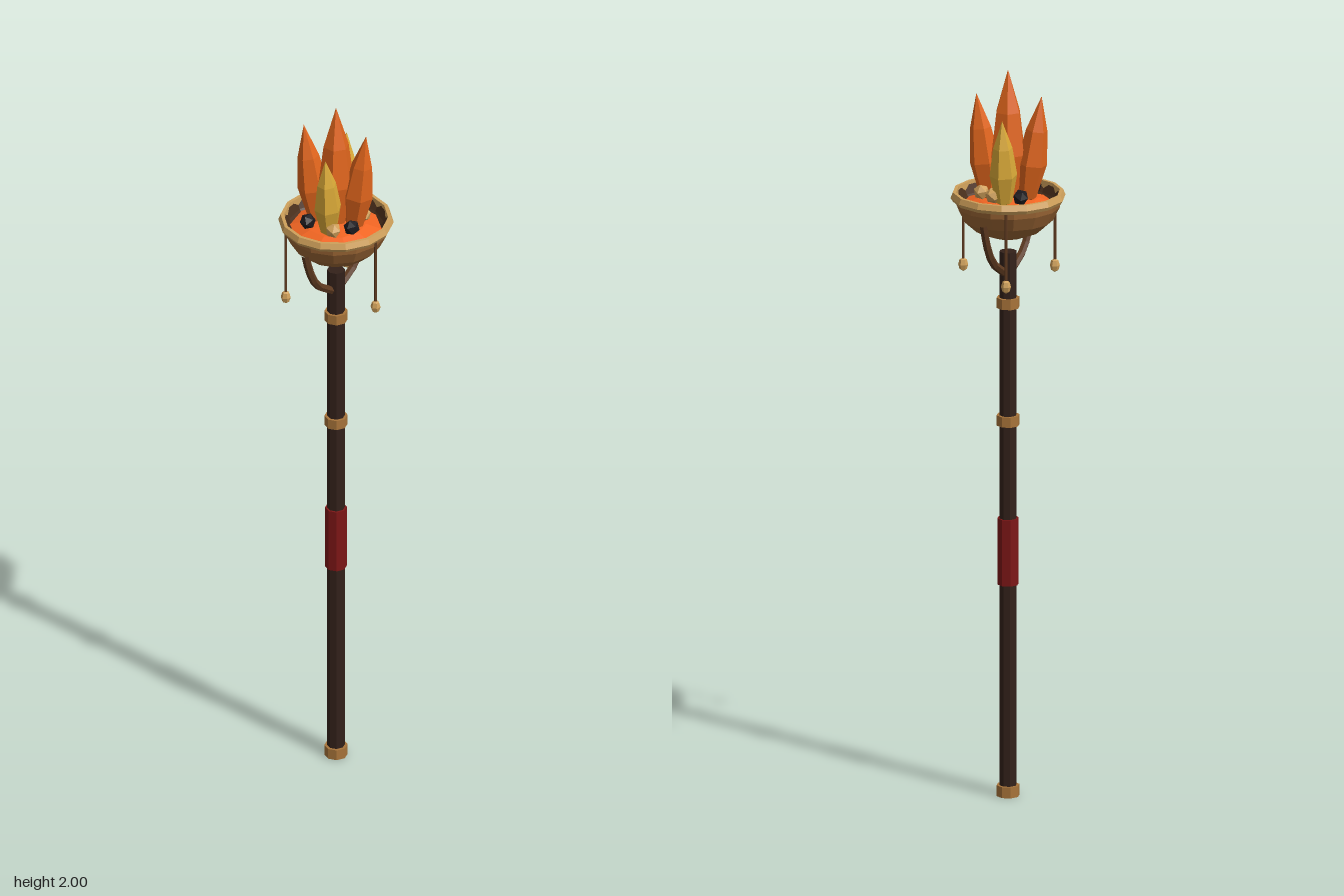
import * as THREE from 'three';

const mat = (color, extra = {}) => new THREE.MeshStandardMaterial({ color, flatShading: true, ...extra });
const WOOD = mat(0x33211a), BRASS = mat(0xa8743a), RIM = mat(0xcfa05a), RED = mat(0x7d1616);
const BOWL = mat(0x9a6534, { side: THREE.DoubleSide }), LINER = mat(0x4a2f1c, { side: THREE.DoubleSide });
const ARM = mat(0x5e3a20), EMBER = mat(0xf26522), COAL = mat(0x1c1a1e);
const ORANGE = mat(0xe0651c), YELLOW = mat(0xdcab38);

const lathe = (points, sides) => new THREE.LatheGeometry(points.map(([r, y]) => new THREE.Vector2(r, y)), sides);

export function createModel() {
  const group = new THREE.Group();
  const add = (name, geometry, material, x = 0, y = 0, z = 0) => {
    const mesh = new THREE.Mesh(geometry, material);
    mesh.name = name;
    mesh.position.set(x, y, z);
    group.add(mesh);
    return mesh;
  };
  // Upright prism between two heights
  const prism = (name, r, y0, y1, material) =>
    add(name, new THREE.CylinderGeometry(r, r, y1 - y0, 8), material, 0, (y0 + y1) / 2, 0);

  // Pole, grip and collars
  prism('pole', 0.0235, 0.01, 1.5, WOOD);
  prism('grip', 0.029, 0.583, 0.765, RED);
  prism('footCap', 0.031, 0, 0.03, BRASS);
  for (const y of [1.035, 1.359]) prism('collar', 0.031, y - 0.014, y + 0.014, BRASS);

  // Bowl: outer shell, dark lining and 14-sided rim
  add('bowl', lathe([[0, 1.539], [0.045, 1.543], [0.088, 1.56], [0.12, 1.589], [0.138, 1.625], [0.141, 1.65]], 14), BOWL);
  add('bowlLining', lathe([[0.11, 1.61], [0.128, 1.635], [0.138, 1.658]], 14), LINER);
  add('rim', lathe([[0.136, 1.645], [0.147, 1.641], [0.153, 1.651], [0.147, 1.666], [0.138, 1.666], [0.136, 1.645]], 14), RIM)
    .rotation.y = Math.PI / 2;

  // Glowing bed, slightly domed
  add('embers', lathe([[0.122, 1.632], [0.08, 1.646], [0, 1.655]], 10), EMBER);

  // Two curved arms carrying the bowl
  for (const s of [-1, 1]) {
    const path = new THREE.CatmullRomCurve3([[0.01, 1.44], [0.075, 1.485], [0.105, 1.54], [0.122, 1.6]]
      .map(([x, y]) => new THREE.Vector3(s * x, y, 0)));
    add('supportArm', new THREE.TubeGeometry(path, 6, 0.011, 6), ARM);
  }

  // Three hanging cords with drop beads
  for (let i = 0; i < 3; i++) {
    const a = i * Math.PI * 2 / 3, x = 0.14 * Math.sin(a), z = 0.14 * Math.cos(a);
    add('cord', new THREE.CylinderGeometry(0.004, 0.004, 0.195, 5), ARM, x, 1.5475, z);
    add('bead', new THREE.SphereGeometry(0.0135, 6, 4), RIM, x, 1.442, z).scale.y = 1.4;
  }

  // Lumps lying on the embers
  const lumps = [[-0.073, -0.035, COAL], [0.042, -0.066, COAL], [-0.02, 0.073, COAL],
    [-0.062, 0.045, RIM], [0.052, 0.05, RIM], [0.066, 0.005, RIM]];
  lumps.forEach(([x, z, m], i) => {
    const lump = add('coal', new THREE.IcosahedronGeometry(0.022, 0), m, x, 1.668, z);
    lump.rotation.set(i, i * 1.7, 0);
  });

  // Six-sided flame spindles leaning out from the middle: base x, z, tip x, y, z, radius
  const flames = [
    ['flameCentre', 0, 0, 0, 2, 0, 0.05, ORANGE],
    ['flameBack', -0.02, -0.045, -0.035, 1.93, -0.083, 0.041, ORANGE],
    ['flameFront', 0.02, 0.045, 0.03, 1.93, 0.08, 0.041, ORANGE],
    ['flameRight', -0.048, 0.018, -0.074, 1.88, 0.028, 0.037, YELLOW],
    ['flameLeft', 0.048, -0.018, 0.074, 1.88, -0.028, 0.037, YELLOW],
  ];
  flames.forEach(([name, x, z, tx, ty, tz, r, m], i) => {
    const base = new THREE.Vector3(x, 1.64, z), axis = new THREE.Vector3(tx, ty, tz).sub(base);
    const h = axis.length();
    const profile = [[0, 0], [0.6 * r, 0.04 * h], [r, 0.36 * h], [0.7 * r, 0.68 * h], [0, h]];
    const flame = add(name, lathe(profile, 6), m, base.x, base.y, base.z);
    flame.quaternion.setFromUnitVectors(new THREE.Vector3(0, 1, 0), axis.normalize());
    flame.rotateY(i * 0.7);
  });

  return group;
}
